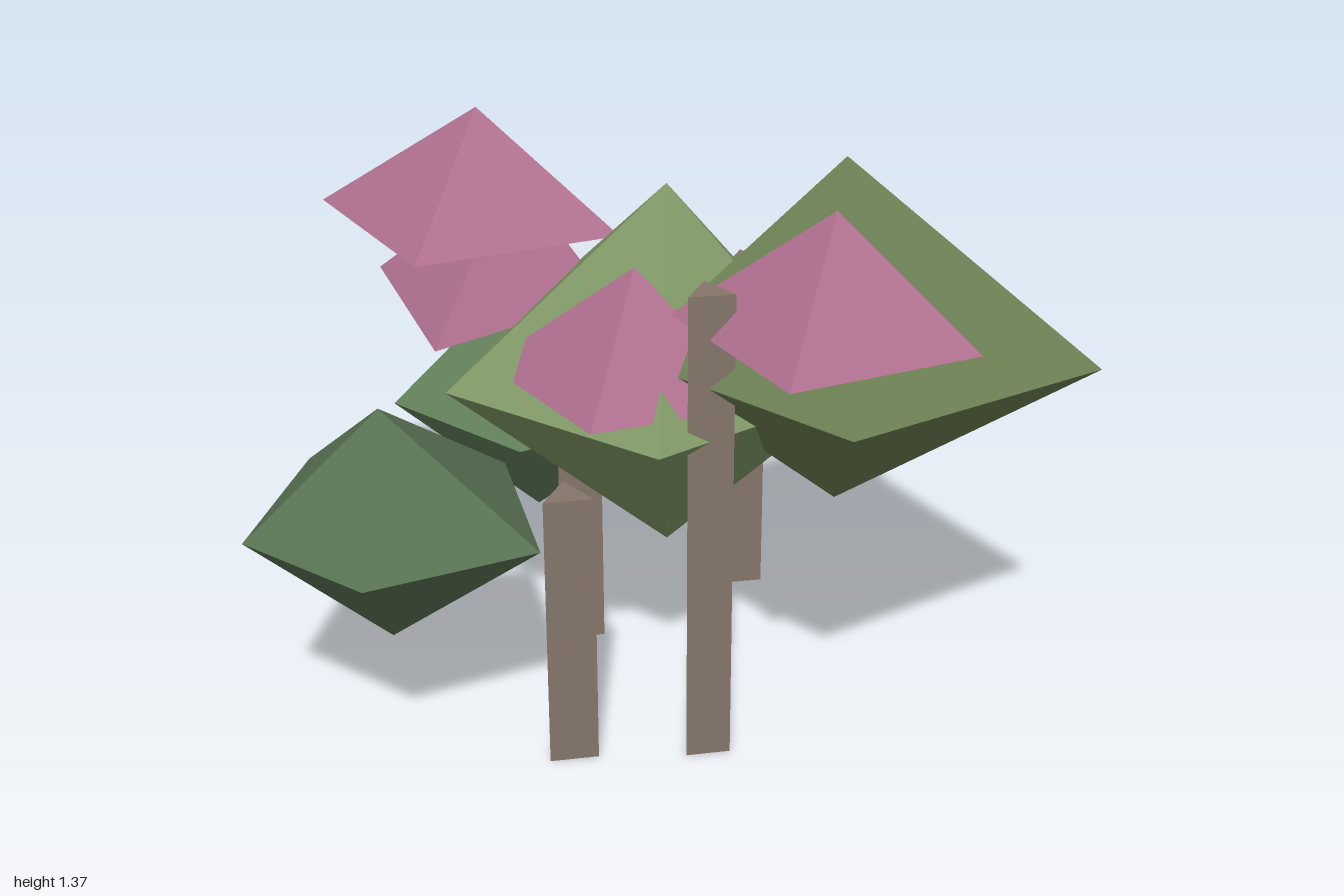
import * as THREE from 'three';

const material = (color) => new THREE.MeshStandardMaterial({ color, flatShading: true });

// Faceted crown: an uneven ring of corners joined to an upper and a lower point.
// With low equal to mid the underside is flat.
function crownGeometry(x, z, low, mid, high, radii) {
  const n = radii.length;
  const ring = radii.map((r, i) => {
    const a = (i / n) * Math.PI * 2;
    return [x + r * Math.cos(a), mid, z + r * Math.sin(a)];
  });
  const top = [x, high, z];
  const bottom = [x, low, z];
  const points = [];
  for (let i = 0; i < n; i++) {
    const next = ring[(i + 1) % n];
    points.push(...top, ...next, ...ring[i], ...bottom, ...ring[i], ...next);
  }
  const geometry = new THREE.BufferGeometry();
  geometry.setAttribute('position', new THREE.Float32BufferAttribute(points, 3));
  geometry.computeVertexNormals();
  return geometry;
}

export function createModel() {
  const group = new THREE.Group();
  const add = (name, geometry, mat) => {
    const mesh = new THREE.Mesh(geometry, mat);
    mesh.name = name;
    group.add(mesh);
    return mesh;
  };

  // Three-sided stems, each with one edge turned to +x
  const bark = material(0x85766a);
  const stems = [
    { x: 0.205, z: 0.335, r: 0.06, h: 1.155 },
    { x: -0.083, z: 0.46, r: 0.066, h: 0.68 },
    { x: -0.27, z: -0.055, r: 0.063, h: 0.9 },
    { x: 0.03, z: -0.465, r: 0.06, h: 0.93 },
  ];
  for (const { x, z, r, h } of stems) {
    const geometry = new THREE.CylinderGeometry(r, r, h, 3).rotateY(Math.PI / 2);
    add('stem', geometry, bark).position.set(x, h / 2, z);
  }

  // Five-sided leaf clumps
  const leaves = [
    { name: 'leftLeaves', color: 0x6b7f52, x: 0.4, z: -0.03, y: [0.52, 0.94, 1.365], r: [0.595, 0.57, 0.51, 0.42, 0.394] },
    { name: 'middleLeaves', color: 0x7f9866, x: -0.01, z: 0.01, y: [0.355, 0.813, 1.27], r: [0.45, 0.495, 0.53, 0.58, 0.473] },
    { name: 'frontRightLeaves', color: 0x587252, x: -0.49, z: 0.55, y: [0.285, 0.575, 0.865], r: [0.38, 0.305, 0.32, 0.41, 0.4] },
    { name: 'backRightLeaves', color: 0x637f5b, x: -0.527, z: -0.38, y: [0.17, 0.52, 0.87], r: [0.42, 0.4, 0.38, 0.38, 0.485] },
  ];
  for (const l of leaves) add(l.name, crownGeometry(l.x, l.z, ...l.y, l.r), material(l.color));

  // Four-sided blossoms with flat undersides
  const pink = material(0xb07090);
  const blossoms = [
    { name: 'upperRightBlossom', x: -0.56, z: -0.155, y: [1.065, 1.35], r: [0.37, 0.36, 0.44, 0.285] },
    { name: 'lowerRightBlossom', x: -0.46, z: -0.13, y: [0.913, 1.21], r: [0.25, 0.45, 0.375, 0.21] },
    { name: 'backBlossom', x: 0.34, z: -0.26, y: [0.915, 1.2], r: [0.27, 0.35, 0.38, 0.43] },
    { name: 'frontBlossom', x: 0, z: 0.245, y: [0.865, 1.15], r: [0.31, 0.27, 0.37, 0.25] },
    { name: 'frontLeftBlossom', x: 0.455, z: 0.25, y: [1.053, 1.335], r: [0.325, 0.32, 0.37, 0.3] },
  ];
  for (const b of blossoms) add(b.name, crownGeometry(b.x, b.z, b.y[0], ...b.y, b.r), pink);

  return group;
}
